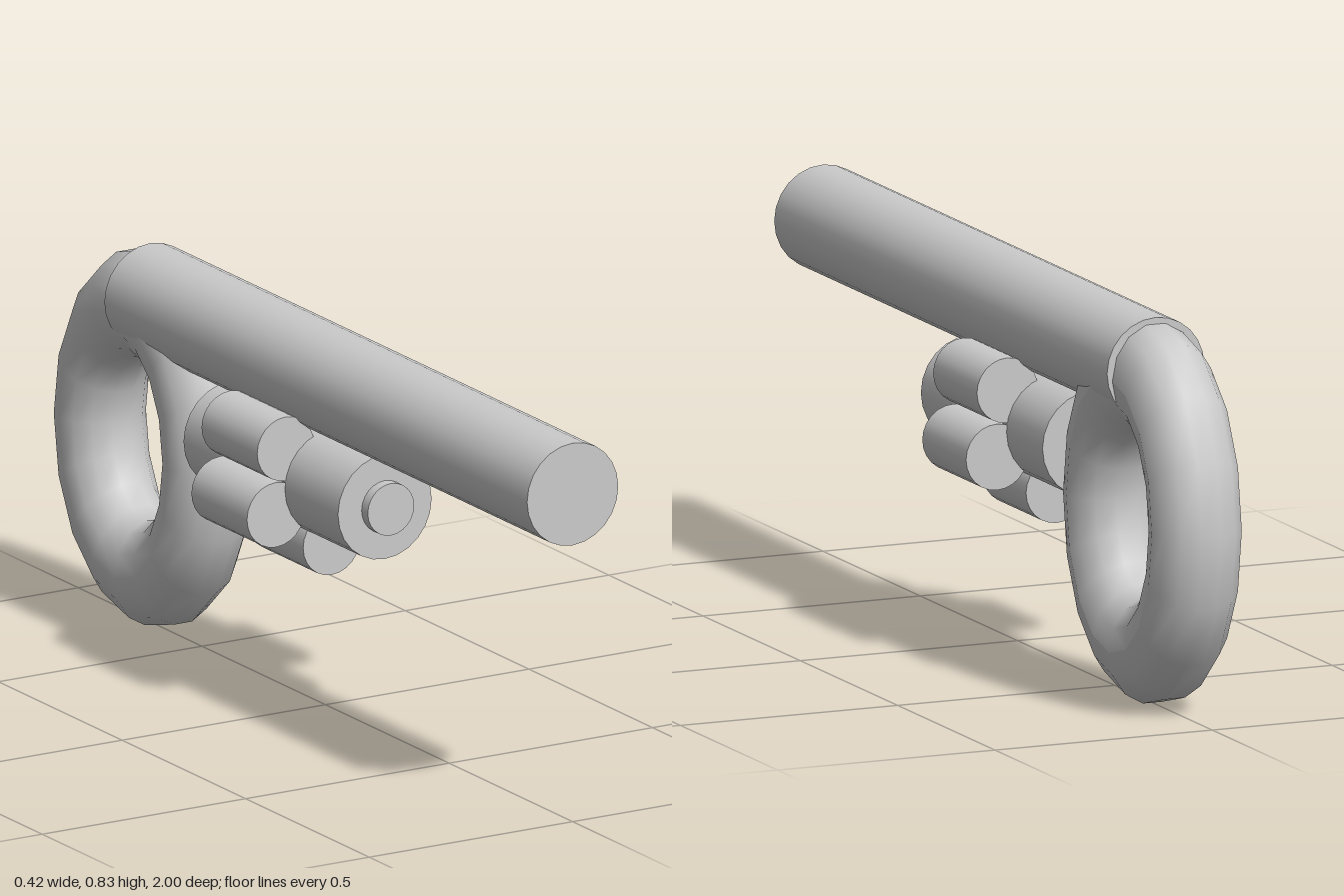
import * as THREE from 'three';

const grey = new THREE.MeshStandardMaterial({ color: 0xcccccc });

// Solid rod along z, from zBack to zFront
function rod(name, radius, x, y, zBack, zFront, sides = 24) {
  const geometry = new THREE.CylinderGeometry(radius, radius, zFront - zBack, sides);
  geometry.rotateX(Math.PI / 2);
  const mesh = new THREE.Mesh(geometry, grey);
  mesh.name = name;
  mesh.position.set(x, y, (zBack + zFront) / 2);
  return mesh;
}

// Oval ring: a 14-sided tube section turned about the x axis, then squeezed in z
function ringGrip() {
  const major = 0.295, thickX = 0.1, thickY = 0.118, sides = 14;
  const section = [];
  for (let i = 0; i <= sides; i++) {
    const a = -(i / sides) * Math.PI * 2;
    section.push(new THREE.Vector2(major - thickY * Math.sin(a), -thickX * Math.cos(a)));
  }
  // Run the section so that the outside of the tube faces outward
  section.reverse();
  const area = section.slice(1).reduce((s, p, i) => s + section[i].x * p.y - p.x * section[i].y, 0);
  if (area < 0) section.reverse();
  const geometry = new THREE.LatheGeometry(section, 16);
  geometry.rotateZ(Math.PI / 2);
  geometry.scale(1, 1, 0.745);
  const mesh = new THREE.Mesh(geometry, grey);
  mesh.name = 'ringGrip';
  mesh.position.set(0, 0.412, -0.693);
  return mesh;
}

export function createModel() {
  const model = new THREE.Group();
  model.name = 'model';

  // Long barrel and the ring behind it
  model.add(rod('barrel', 0.112, 0, 0.72, -0.71, 1));
  model.add(ringGrip());

  // Drum under the barrel, with its axle showing at both ends
  model.add(rod('drum', 0.115, 0, 0.498, -0.385, 0.24));
  model.add(rod('axle', 0.057, 0, 0.498, -0.42, 0.265));

  // Chambers around the drum
  const chambers = new THREE.Group();
  chambers.name = 'chambers';
  chambers.add(rod('chamberBottom', 0.07, 0, 0.363, -0.2, 0.025));
  for (const [side, label] of [[1, 'Left'], [-1, 'Right']]) {
    chambers.add(rod('chamberLower' + label, 0.071, side * 0.137, 0.446, -0.2, 0.025));
    chambers.add(rod('chamberUpper' + label, 0.07, side * 0.113, 0.587, -0.2, 0.025));
  }
  model.add(chambers);
  return model;
}
